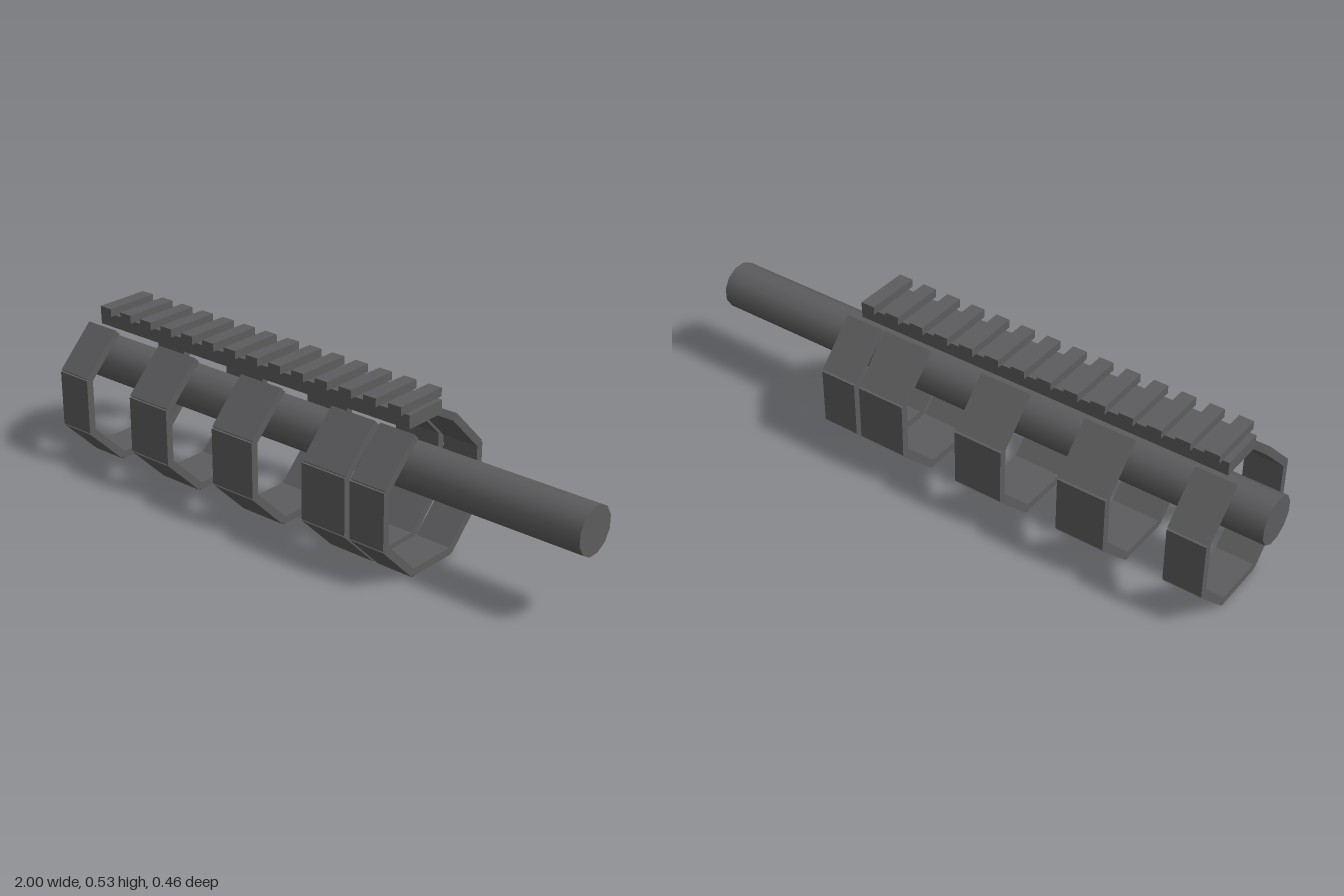
import * as THREE from 'three';

export function createModel() {
  const model = new THREE.Group();
  const metal = new THREE.MeshStandardMaterial({ color: 0x5c5c5e });
  metal.name = 'gunmetal grey';

  function box(parent, name, w, h, d, x, y, z) {
    const mesh = new THREE.Mesh(new THREE.BoxGeometry(w, h, d), metal);
    mesh.name = name;
    mesh.position.set(x, y, z);
    parent.add(mesh);
    return mesh;
  }

  // Twelve-sided rod with flat sides facing up and down
  const rod = new THREE.Mesh(
    new THREE.CylinderGeometry(0.0774, 0.0774, 2, 12, 1, false, Math.PI / 12), metal);
  rod.name = 'rod';
  rod.rotation.z = Math.PI / 2;
  rod.position.y = 0.306;
  model.add(rod);

  // Octagonal bands, each of seven plates and open at the top
  const thickness = 0.025, plateLength = 0.185, centreY = 0.232;
  const radius = centreY - thickness / 2;
  const bands = [[-0.909, -0.783], [-0.583, -0.42], [-0.222, -0.056], [0.142, 0.307], [0.326, 0.452]];
  for (const [x0, x1] of bands) {
    const band = new THREE.Group();
    band.name = 'octagonalBand';
    band.position.set((x0 + x1) / 2, centreY, 0);
    for (let i = -3; i <= 3; i++) {
      const a = i * Math.PI / 4;
      const plate = box(band, 'bandPlate', x1 - x0, thickness, plateLength,
        0, -radius * Math.cos(a), radius * Math.sin(a));
      plate.rotation.x = -a;
    }
    model.add(band);
  }

  // Top rail with evenly spaced cross teeth
  const rail = new THREE.Group();
  rail.name = 'topRail';
  box(rail, 'railBase', 1.288, 0.044, 0.15, -0.23, 0.479, 0);
  for (let i = 0; i < 14; i++) {
    box(rail, 'railTooth', 0.048, 0.027, 0.189, -0.829 + i * 0.0925, 0.5145, 0);
  }
  model.add(rail);

  return model;
}
